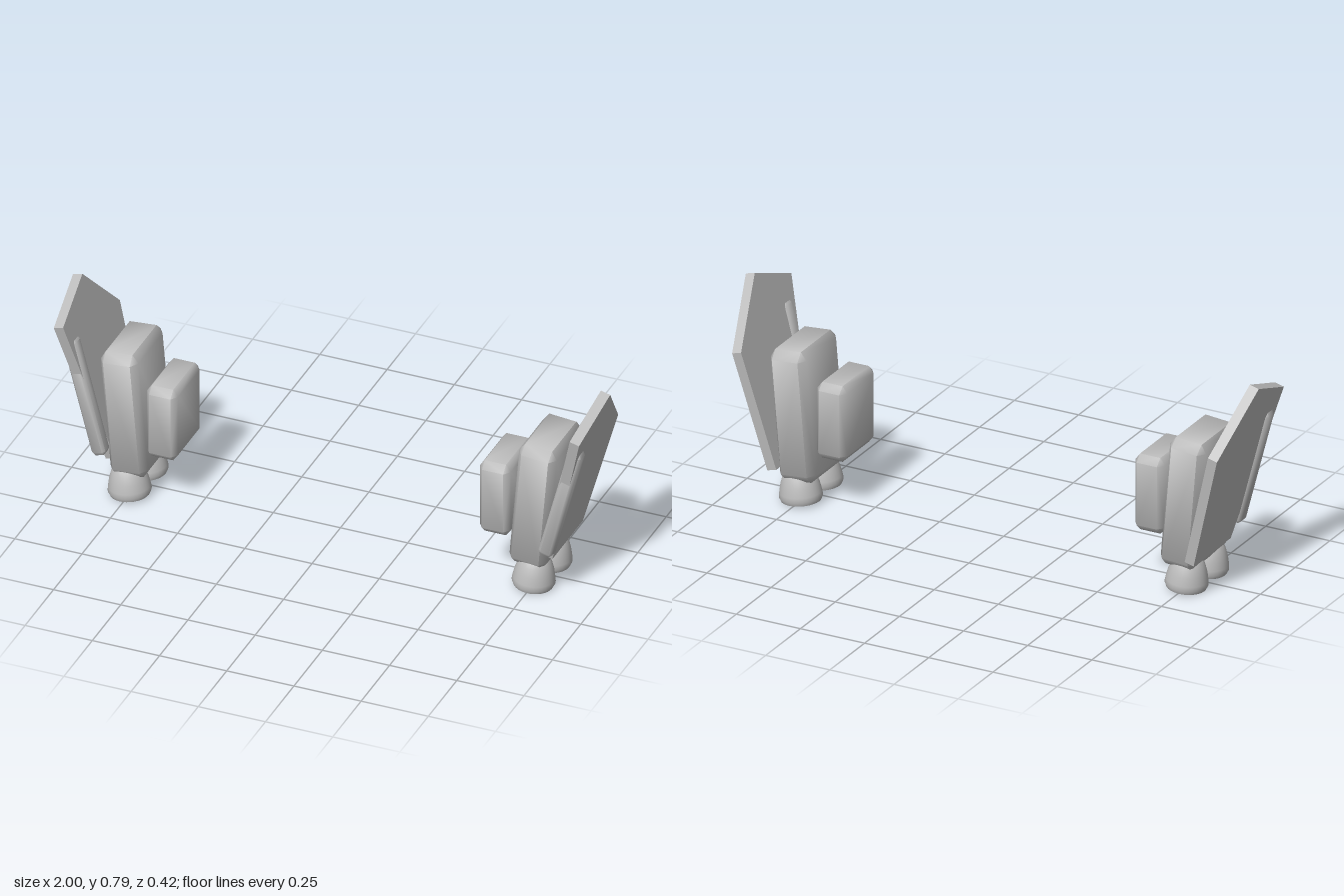
import * as THREE from 'three';
import { toCreasedNormals } from 'three/addons/utils/BufferGeometryUtils.js';
import { ConvexGeometry } from 'three/addons/geometries/ConvexGeometry.js';

// Box with chamfered edges; bx, by, bz are the chamfer insets per axis
function chamferBox(w, h, d, bx, by, bz) {
  const points = [];
  const [x, y, z] = [w / 2, h / 2, d / 2];
  for (const i of [-1, 1]) for (const j of [-1, 1]) for (const k of [-1, 1]) {
    points.push(
      new THREE.Vector3(i * x, j * (y - by), k * (z - bz)),
      new THREE.Vector3(i * (x - bx), j * y, k * (z - bz)),
      new THREE.Vector3(i * (x - bx), j * (y - by), k * z)
    );
  }
  return toCreasedNormals(new ConvexGeometry(points), 0.95);
}

// Five-sided shield plate, thin along x, with its foot at y = 0
function plateGeometry(thickness) {
  const outline = [[0.10, 0], [0.212, 0.576], [-0.01, 0.664], [-0.21, 0.448], [-0.167, 0]];
  const shape = new THREE.Shape(outline.map(([z, y]) => new THREE.Vector2(z, y)));
  return new THREE.ExtrudeGeometry(shape, { depth: thickness, bevelEnabled: false })
    .translate(0, 0, -thickness / 2)
    .rotateY(-Math.PI / 2);
}

// Closed bell nozzle, standing on y = 0
function nozzleGeometry() {
  const profile = [
    [0, 0], [0.07, 0], [0.076, 0.014], [0.074, 0.03],
    [0.068, 0.06], [0.058, 0.09], [0.044, 0.113], [0.02, 0.128], [0, 0.13]
  ].map(([r, y]) => new THREE.Vector2(r, y));
  return toCreasedNormals(new THREE.LatheGeometry(profile, 32), 0.8);
}

export function createModel() {
  const model = new THREE.Group();
  model.name = 'thrusterPair';
  const grey = new THREE.MeshStandardMaterial({ color: 0xbcbcbc });
  grey.name = 'plainGrey';

  const bodyTilt = 0.085;
  const plateTilt = 0.257;
  const thickness = 0.036;
  const geometry = {
    body: chamferBox(0.14, 0.485, 0.272, 0.02, 0.03, 0.03),
    innerBox: chamferBox(0.115, 0.285, 0.24, 0.018, 0.025, 0.025),
    plate: plateGeometry(thickness),
    bar: chamferBox(0.052, 0.455, 0.053, 0.01, 0.014, 0.01),
    nozzle: nozzleGeometry()
  };

  // Each side is a mirror of the other: position and lean flip with the side
  for (const [sideName, side] of [['left', 1], ['right', -1]]) {
    const pod = new THREE.Group();
    pod.name = sideName + 'Pod';
    const add = (name, geo, x, y, z, lean) => {
      const mesh = new THREE.Mesh(geo, grey);
      mesh.name = name;
      mesh.position.set(side * x, y, z);
      mesh.rotation.z = -side * lean;
      pod.add(mesh);
    };
    add('body', geometry.body, 0.76, 0.333, -0.004, bodyTilt);
    add('innerBox', geometry.innerBox, 0.619, 0.333, 0.006, 0);
    add('shieldPlate', geometry.plate, 0.813, 0.14, 0, plateTilt);
    add('edgeBar', geometry.bar, 0.885, 0.406, 0.146, plateTilt);
    add('frontNozzle', geometry.nozzle, 0.75, 0.007, 0.077, bodyTilt);
    add('backNozzle', geometry.nozzle, 0.75, 0.007, -0.071, bodyTilt);
    model.add(pod);
  }
  return model;
}
